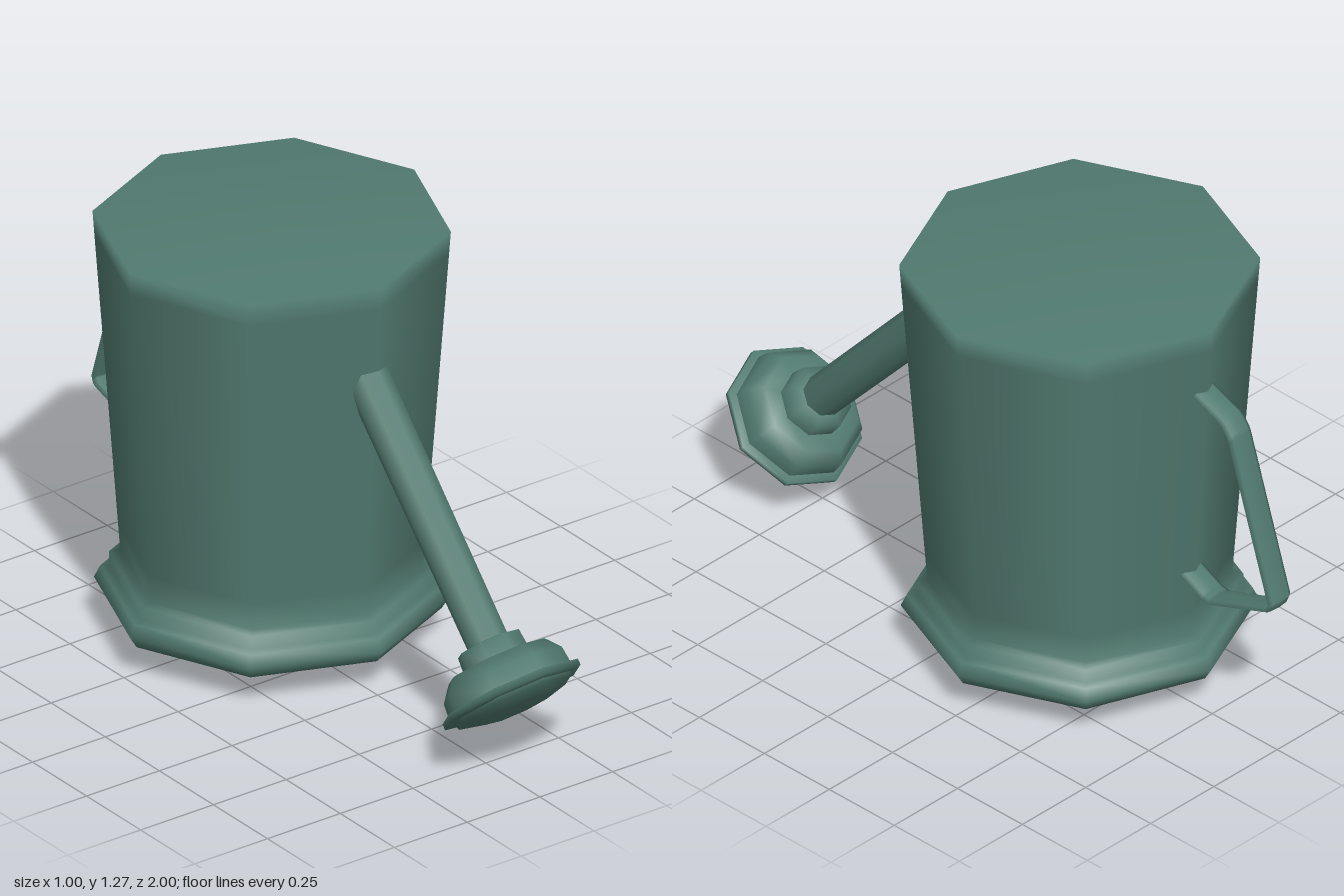
import * as THREE from 'three';

const SIDES = 8;

// Octagonal turned part from [radius, height] pairs
function turned(name, profile, material) {
  const points = profile.map(([r, y]) => new THREE.Vector2(r, y));
  const mesh = new THREE.Mesh(new THREE.LatheGeometry(points, SIDES), material);
  mesh.name = name;
  return mesh;
}

// Half dome over the front of the opening, continued straight back to a cut edge
function coverGeometry() {
  const profile = [[0, 0], [0.2, 0.045], [0.315, 0.095], [0.41, 0.135]];
  const backZ = -0.15;
  const columns = 7;
  const positions = [];
  const index = [];
  for (const [r, y] of profile) {
    positions.push(-r, y, backZ);
    for (let i = 0; i <= 4; i++) {
      const a = -Math.PI / 2 + (i * Math.PI) / 4;
      positions.push(r * Math.sin(a), y, r * Math.cos(a));
    }
    positions.push(r, y, backZ);
  }
  for (let j = 0; j < profile.length - 1; j++) {
    for (let i = 0; i < columns - 1; i++) {
      const a = j * columns + i, b = a + 1, c = a + columns, d = c + 1;
      index.push(a, c, b, b, c, d);
    }
  }
  const geometry = new THREE.BufferGeometry();
  geometry.setAttribute('position', new THREE.Float32BufferAttribute(positions, 3));
  geometry.setIndex(index);
  geometry.computeVertexNormals();
  return geometry;
}

// Flat strap handle: a thin tube along the path, widened across
function handleGeometry() {
  const path = [[1.06, -0.46], [1.047, -0.49], [1.012, -0.572], [0.975, -0.6],
    [0.49, -0.752], [0.466, -0.742], [0.39, -0.525], [0.395, -0.498], [0.436, -0.42]]
    .map(([y, z]) => new THREE.Vector3(0, y, z));
  const curve = new THREE.CurvePath();
  for (let i = 1; i < path.length; i++) curve.add(new THREE.LineCurve3(path[i - 1], path[i]));
  return new THREE.TubeGeometry(curve, 90, 0.01, 8).scale(4.5, 1, 1);
}

// Cut the upper end of the pipe parallel to the wall it meets
function trimToWall(geometry) {
  const p = geometry.attributes.position;
  for (let i = 0; i < p.count; i++) {
    if (p.getY(i) < -0.5) p.setY(i, (-0.642 + 0.742 * p.getZ(i)) / 0.67);
  }
}

export function createModel() {
  const green = new THREE.MeshStandardMaterial({ color: 0x517a70, side: THREE.DoubleSide });
  green.name = 'dull green';

  const model = new THREE.Group();
  model.name = 'wateringCan';
  const can = new THREE.Group();
  can.name = 'can';
  can.position.z = -0.24;
  can.rotation.y = 0.022;
  model.add(can);

  // Body standing upside down: collar around the opening, wall, and flat base on top
  can.add(turned('body', [
    [0.39, 0.17], [0.405, 0.11], [0.472, 0.095], [0.494, 0.13], [0.477, 0.166],
    [0.453, 0.17], [0.452, 0.212], [0.421, 0.217], [0.427, 0.3], [0.493, 1.2],
    [0.498, 1.27], [0, 1.27],
  ], green));

  const cover = new THREE.Mesh(coverGeometry(), green);
  cover.name = 'openingCover';
  can.add(cover);

  const handle = new THREE.Mesh(handleGeometry(), green);
  handle.name = 'handle';
  can.add(handle);

  // Spout and sprinkler head share one sloping axis
  const spout = new THREE.Group();
  spout.name = 'spout';
  spout.position.set(0, 0.238, 1.082);
  spout.rotation.x = 2.407;
  const pipe = turned('spoutPipe', [[0.064, -1], [0.061, -0.15]], green);
  trimToWall(pipe.geometry);
  spout.add(
    pipe,
    turned('headCollar', [[0.058, -0.168], [0.095, -0.162], [0.1, -0.105]], green),
    turned('sprinklerHead', [[0.09, -0.11], [0.15, -0.108], [0.185, -0.065], [0.19, -0.015]], green),
    turned('headFlange', [[0.185, -0.02], [0.212, -0.016], [0.212, 0.002], [0.18, 0.006]], green),
    turned('headFace', [[0.184, 0], [0.175, 0.018], [0.1, 0.038], [0, 0.045]], green),
  );
  can.add(spout);

  return model;
}
